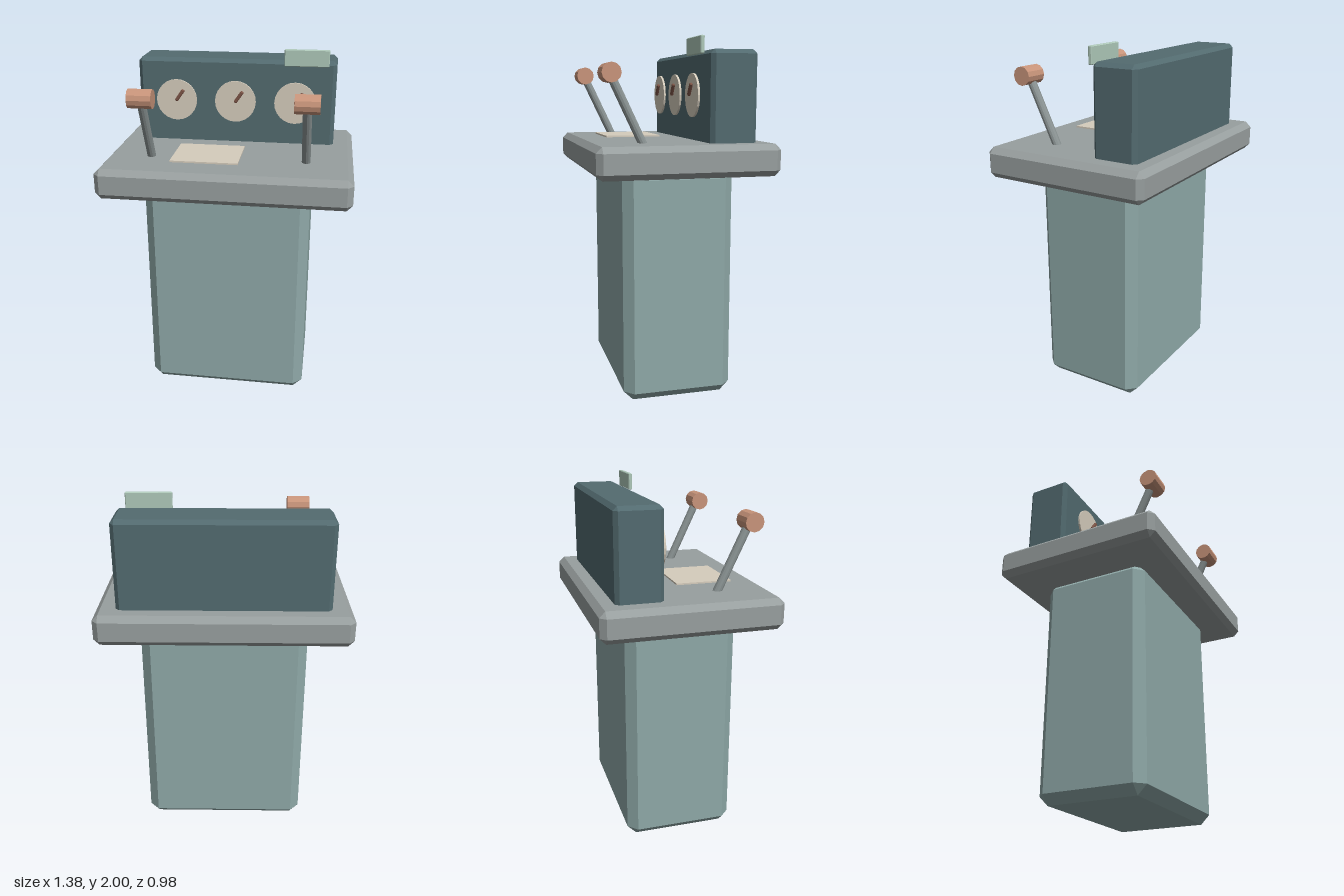
import * as THREE from 'three';
import { ConvexGeometry } from 'three/addons/geometries/ConvexGeometry.js';

const paint = (color) => new THREE.MeshStandardMaterial({ color, flatShading: true });

// Box with every edge cut at 45 degrees, centred on the origin.
function chamferBox(w, h, d, c) {
  const half = [w / 2, h / 2, d / 2];
  const points = [];
  for (const sx of [-1, 1]) for (const sy of [-1, 1]) for (const sz of [-1, 1]) {
    for (let full = 0; full < 3; full++) {
      const p = half.map((v, i) => (i === full ? v : v - c));
      points.push(new THREE.Vector3(sx * p[0], sy * p[1], sz * p[2]));
    }
  }
  return new ConvexGeometry(points);
}

export function createModel() {
  const model = new THREE.Group();
  const body = paint(0x8fa9a8);
  const deskGrey = paint(0x989f9f);
  const dark = paint(0x536b70);
  const cream = paint(0xd6cdbd);
  const copper = paint(0xc9957b);
  const brown = paint(0x7d5547);
  const steel = paint(0x8b9494);
  const mint = paint(0xafc9ba);

  const add = (parent, name, geometry, material, x, y, z) => {
    const mesh = new THREE.Mesh(geometry, material);
    mesh.name = name;
    mesh.position.set(x, y, z);
    parent.add(mesh);
    return mesh;
  };

  // Main masses: pedestal, desk top and upright gauge panel
  add(model, 'pedestal', chamferBox(0.93, 1.3, 0.62, 0.052), body, 0, 0.65, 0);
  add(model, 'deskTop', chamferBox(1.38, 0.17, 0.98, 0.032), deskGrey, 0, 1.36, 0);
  add(model, 'gaugePanel', chamferBox(1.15, 0.51, 0.256, 0.022), dark, 0, 1.675, -0.261);

  // Three gauges, each with a tilted needle
  for (const x of [-0.345, 0, 0.345]) {
    const gauge = new THREE.Group();
    gauge.name = 'gauge';
    gauge.position.set(x, 1.694, -0.1);
    add(gauge, 'dial', new THREE.CylinderGeometry(0.119, 0.119, 0.012, 24), cream, 0, 0, 0)
      .rotation.x = Math.PI / 2;
    add(gauge, 'needle', chamferBox(0.02, 0.078, 0.018, 0.005), brown, 0.022, 0.031, 0.021)
      .rotation.z = -0.61;
    model.add(gauge);
  }

  // Small sign standing above the panel, and a sheet lying on the desk
  add(model, 'sign', chamferBox(0.252, 0.094, 0.022, 0.004), mint, 0.404, 1.953, -0.096);
  add(model, 'sheet', new THREE.BoxGeometry(0.374, 0.009, 0.315), cream, -0.116, 1.459, 0.171);

  // Mirrored levers leaning toward the front
  const foot = new THREE.Vector3(0, 1.436, 0.198);
  const head = new THREE.Vector3(0, 1.81, 0.375);
  const span = head.clone().sub(foot);
  for (const side of [-1, 1]) {
    const lever = new THREE.Group();
    lever.name = side > 0 ? 'leftLever' : 'rightLever';
    lever.position.x = side * 0.432;
    const mid = foot.clone().lerp(head, 0.5);
    add(lever, 'shaft', new THREE.CylinderGeometry(0.024, 0.024, span.length(), 12), steel, 0, mid.y, mid.z)
      .rotation.x = Math.atan2(span.z, span.y);
    add(lever, 'grip', new THREE.CylinderGeometry(0.052, 0.052, 0.13, 12), copper, 0, head.y, head.z)
      .rotation.z = Math.PI / 2;
    model.add(lever);
  }

  return model;
}
